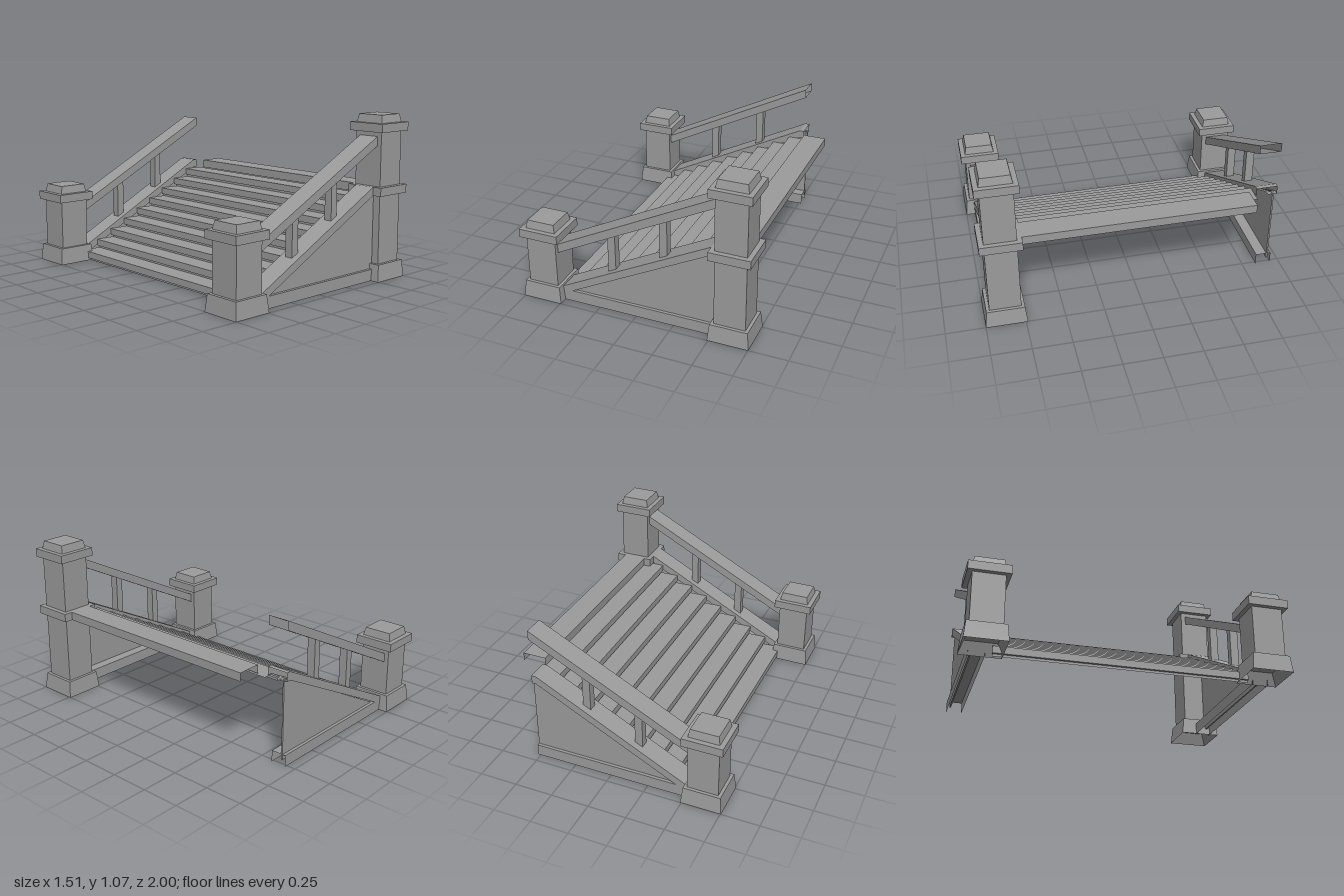
import * as THREE from 'three';

const mat = new THREE.MeshStandardMaterial({ color: 0x9c9c9c, flatShading: true, side: THREE.DoubleSide });

function add(parent, name, geometry, x = 0, y = 0, z = 0) {
  const mesh = new THREE.Mesh(geometry, mat);
  mesh.name = name;
  mesh.position.set(x, y, z);
  parent.add(mesh);
}

// Flat quads joining two matching point paths
function strip(a, b) {
  const pos = [];
  for (let i = 0; i < a.length - 1; i++) {
    pos.push(...a[i], ...a[i + 1], ...b[i + 1], ...a[i], ...b[i + 1], ...b[i]);
  }
  const g = new THREE.BufferGeometry();
  g.setAttribute('position', new THREE.Float32BufferAttribute(pos, 3));
  g.computeVertexNormals();
  return g;
}

// Open-ended sweep of a [z, y] section from (x0, y0) to (x1, y1), mirrored for side s
function sweep(section, s, x0, y0, x1, y1) {
  const at = (x, y) => section.map(([z, dy]) => [x, y + dy, s * z]);
  const a = at(x0, y0), b = at(x1, y1);
  return s > 0 ? strip(a, b) : strip(b, a);
}

// Open-ended sweep of an [x, y] profile across the width
function across(profile, halfWidth) {
  const at = (z) => profile.map(([x, y]) => [x, y, z]);
  return strip(at(halfWidth), at(-halfWidth));
}

// Square post turned from a half-width profile, hollow under its base
function post(parent, name, x, z, neck, band) {
  const profile = [[0, 0.08], [0.1, 0.08], [0.131, 0], [0.12, 0.11], [0.1, 0.11]];
  if (band) profile.push([0.1, 0.555], [0.131, 0.555], [0.131, 0.61], [0.1, 0.61]);
  profile.push([0.1, neck], [0.131, neck], [0.131, neck + 0.055], [0.1, neck + 0.055],
    [0.09, neck + 0.107], [0, neck + 0.107]);
  const points = profile.map(([h, y]) => new THREE.Vector2(h * Math.SQRT2, y));
  add(parent, name, new THREE.LatheGeometry(points, 4, Math.PI / 4), x, 0, z);
}

export function createModel() {
  const group = new THREE.Group();
  group.name = 'staircase';

  // Newel posts
  post(group, 'lowerPostFront', -0.624, 0.869, 0.43, false);
  post(group, 'lowerPostBack', -0.624, -0.869, 0.43, false);
  post(group, 'upperPostFront', 0.622, 0.869, 0.958, true);

  // Steps: riser set back under an overhanging nose, then the tread
  const run = 0.1185, rise = 0.061, nose = 0.045, inset = 0.017;
  for (let i = 0; i < 9; i++) {
    const x = -0.535 + i * run, y = (i + 1) * rise;
    add(group, 'step', across([[x + inset, y - rise], [x + inset, y - nose], [x, y - nose],
      [x, y], [x + run + inset, y]], 0.8));
  }

  // Top landing, open underneath
  add(group, 'landing', across([[0.54, 0.555], [0.54, 0.61], [0.695, 0.61], [0.695, 0.555]], 0.74));

  // Side walls and handrails; sections are [z, y] with y measured from the top
  const railSection = [[0.8, -0.06], [0.8, 0], [0.94, 0], [0.94, -0.06], [0.8, -0.06]];
  const capSection = [[0.8, -0.055], [0.8, 0], [0.94, 0], [0.94, -0.055], [0.88, -0.055]];
  const boardSection = [[0.84, -0.075], [0.84, 0], [0.94, 0], [0.94, -0.075]];
  const wallShape = new THREE.Shape([[-0.49, 0.04], [0.52, 0.04], [0.52, 0.56], [0.49, 0.56]]
    .map(([x, y]) => new THREE.Vector2(x, y)));

  for (const s of [1, -1]) {
    const side = new THREE.Group();
    side.name = s > 0 ? 'frontSide' : 'backSide';
    group.add(side);

    const wall = new THREE.ExtrudeGeometry(wallShape, { depth: 0.01, bevelEnabled: false });
    add(side, 'wallPanel', wall, 0, 0, s * 0.915 - 0.005);
    add(side, 'baseBoard', sweep(boardSection, s, -0.51, 0.075, 0.52, 0.075));

    // Sloping wall cap with a short level end at the top
    add(side, 'wallCap', sweep(capSection, s, -0.505, 0.095, 0.49, 0.61));
    add(side, 'wallCapEnd', sweep(capSection, s, 0.49, 0.61, 0.52, 0.61));

    add(side, 'handrail', sweep(railSection, s, -0.525, 0.395, 0.52, 0.93));
    for (const [x, y0, y1] of [[-0.175, 0.235, 0.535], [0.17, 0.42, 0.71]]) {
      add(side, 'baluster', new THREE.BoxGeometry(0.05, y1 - y0, 0.054), x, (y0 + y1) / 2, s * 0.868);
    }
  }
  return group;
}
